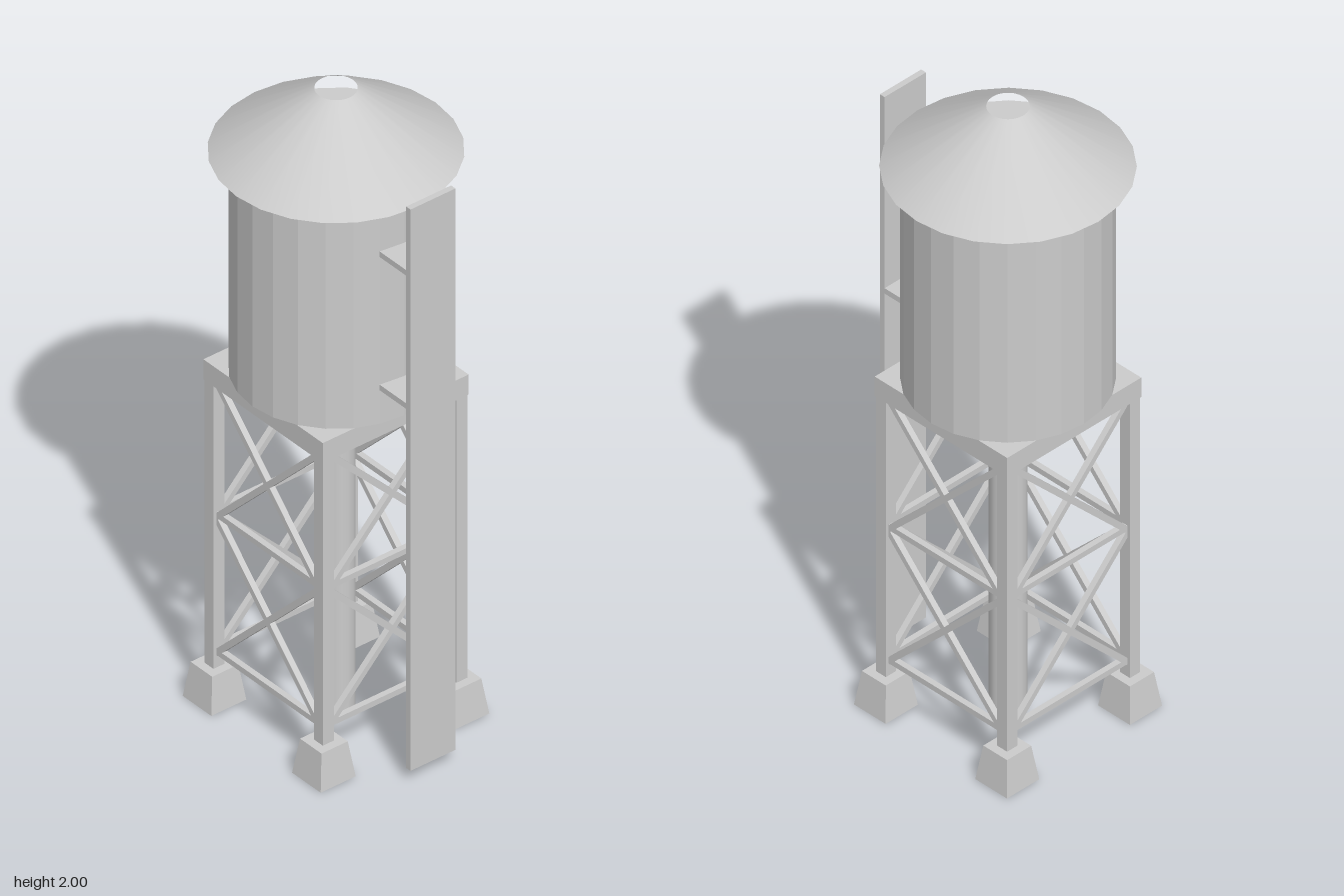
import * as THREE from 'three';

export function createModel() {
  const model = new THREE.Group();
  const smooth = new THREE.MeshStandardMaterial({ color: 0xcccccc });
  const flat = new THREE.MeshStandardMaterial({ color: 0xcccccc, flatShading: true });
  const open = new THREE.MeshStandardMaterial({ color: 0xcccccc, side: THREE.DoubleSide });

  // The tower stands slightly off centre to make room for the ladder
  const tower = new THREE.Group();
  tower.name = 'tower';
  tower.position.x = -0.033;
  model.add(tower);

  const add = (parent, name, geometry, material, x, y, z) => {
    const mesh = new THREE.Mesh(geometry, material);
    mesh.name = name;
    mesh.position.set(x, y, z);
    parent.add(mesh);
    return mesh;
  };
  const box = (parent, name, w, h, d, x, y, z) =>
    add(parent, name, new THREE.BoxGeometry(w, h, d), flat, x, y, z);

  // Tank, open-topped conical roof, platform and central pipe
  add(tower, 'roof', new THREE.CylinderGeometry(0.058, 0.342, 0.2, 24, 1, true), open, 0, 1.9, 0);
  add(tower, 'tank', new THREE.CylinderGeometry(0.287, 0.287, 0.705, 24), flat, 0, 1.4475, 0);
  box(tower, 'platform', 0.5, 0.065, 0.5, 0, 1.0625, 0);
  add(tower, 'pipe', new THREE.CylinderGeometry(0.052, 0.052, 1.03, 16), smooth, 0, 0.515, 0);

  // Four legs on tapered footings
  const L = 0.229;
  for (const sx of [-1, 1]) {
    for (const sz of [-1, 1]) {
      box(tower, 'leg', 0.038, 0.93, 0.038, sx * L, 0.57, sz * L);
      const foot = new THREE.CylinderGeometry(0.045 * Math.SQRT2, 0.06 * Math.SQRT2, 0.112, 4);
      foot.rotateY(Math.PI / 4);
      add(tower, 'footing', foot, flat, sx * L, 0.056, sz * L);
    }
  }

  // Cross bracing, repeated on each of the four sides
  const span = 2 * L - 0.03;
  for (let i = 0; i < 4; i++) {
    const side = new THREE.Group();
    side.name = 'bracing';
    side.rotation.y = i * Math.PI / 2;
    tower.add(side);
    for (const y of [0.162, 0.607]) box(side, 'crossbar', span, 0.018, 0.018, 0, y, L);
    for (const [y0, y1] of [[0.157, 0.592], [0.597, 1.032]]) {
      const rise = y1 - y0;
      for (const s of [-1, 1]) {
        const bar = box(side, 'diagonalBrace', Math.hypot(span, rise), 0.018, 0.018, 0, (y0 + y1) / 2, L);
        bar.rotation.z = s * Math.atan2(rise, span);
      }
    }
  }

  // Ladder board and the brackets holding it to the tank
  box(model, 'ladder', 0.018, 1.82, 0.154, 0.364, 0.95, 0);
  for (const y of [1.213, 1.645]) box(model, 'ladderBracket', 0.135, 0.018, 0.154, 0.29, y, 0);

  return model;
}
